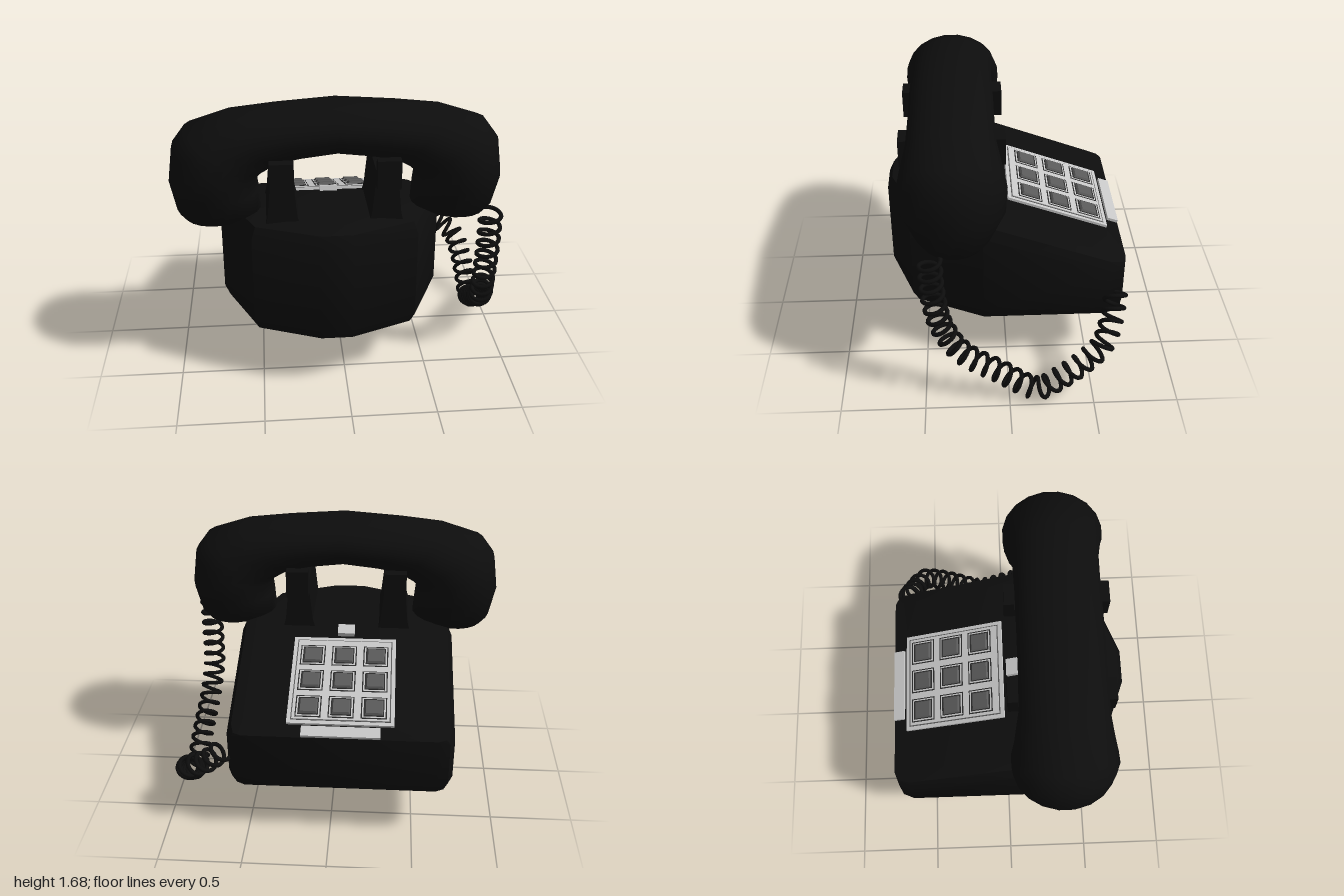
import * as THREE from 'three';
import { toCreasedNormals } from 'three/addons/utils/BufferGeometryUtils.js';

const mat = (name, color) => new THREE.MeshStandardMaterial({ name, color });

// Skin between rings of [x, y, z]; point k mirrors point n-1-k, so the ends close with strips
function loft(rings, crease) {
  const n = rings[0].length, pos = [];
  const quad = (a, b, c, d) => pos.push(...a, ...b, ...c, ...a, ...c, ...d);
  for (let i = 0; i < rings.length - 1; i++) {
    const lo = rings[i], hi = rings[i + 1];
    for (let j = 0; j < n; j++) {
      const k = (j + 1) % n;
      quad(lo[j], lo[k], hi[k], hi[j]);
    }
  }
  const first = rings[0], last = rings[rings.length - 1];
  for (let k = 0; k < n / 2 - 1; k++) {
    const m = n - 1 - k;
    quad(last[k], last[k + 1], last[m - 1], last[m]);
    quad(first[m], first[m - 1], first[k + 1], first[k]);
  }
  const geo = new THREE.BufferGeometry();
  geo.setAttribute('position', new THREE.Float32BufferAttribute(pos, 3));
  return toCreasedNormals(geo, crease);
}

export function createModel() {
  const model = new THREE.Group();
  const black = mat('black plastic', 0x0d0d0d);
  const light = mat('light grey', 0xc8c8c8);
  const grey = mat('key grey', 0x5a5a5a);
  const dark = mat('dark outline', 0x2a2a2a);
  const CX = -0.06;

  const add = (parent, name, geo, material, x = 0, y = 0, z = 0) => {
    const mesh = new THREE.Mesh(geo, material);
    mesh.name = name;
    mesh.position.set(x, y, z);
    parent.add(mesh);
    return mesh;
  };

  // Body: half plan as [x, z, side inset weight, drop weight]
  const plan = [
    [0.10, 0.715, 0.3, 1], [0.48, 0.57, 0.8, 1], [0.67, 0.14, 1, 1],
    [0.67, -0.62, 1, 1], [0.64, -0.69, 0.7, 0.5], [0.57, -0.715, 0, 0],
  ];
  const slope = 0.374;
  const topY = (z) => Math.min(1.07, 0.75 + (z + 0.715) * slope);
  const mirrorRing = (half) => [
    ...half.map(([x, y, z]) => [CX + x, y, z]),
    ...half.slice().reverse().map(([x, y, z]) => [CX - x, y, z]),
  ];
  const lower = (inset, y) => mirrorRing(plan.map(([x, z, w]) =>
    [x - inset * w, y, z > 0.3 ? z - inset : z < -0.5 ? z + inset : z]));
  const upper = (inset, drop) => mirrorRing(plan.map(([x, z, w, f]) =>
    [x - inset * w, topY(z) - drop * f, z > 0.3 ? z - inset : z]));
  add(model, 'body', loft([
    lower(0.1, 0.345), lower(0.03, 0.37), lower(0, 0.44),
    upper(0, 0.09), upper(0.03, 0.02), upper(0.1, 0),
  ], 0.6), black);

  // Handset: sections from mouthpiece tip to middle [outer x, outer y, inner x, inner y, half width]
  const sections = [
    [0.80, 1.015, 0.60, 1.02, 0.13], [0.89, 1.03, 0.52, 1.04, 0.18],
    [0.93, 1.08, 0.445, 1.08, 0.22], [0.965, 1.27, 0.455, 1.20, 0.295],
    [0.935, 1.48, 0.465, 1.28, 0.305], [0.86, 1.58, 0.42, 1.32, 0.285],
    [0.62, 1.66, 0.33, 1.37, 0.255], [0.35, 1.69, 0.20, 1.395, 0.25],
    [0, 1.715, 0, 1.42, 0.25],
  ];
  const sides = 20;
  const section = ([ox, oy, ix, iy, w], s) => Array.from({ length: sides }, (_, k) => {
    const t = (k + 0.5) / sides * Math.PI * 2, c = Math.cos(t) * 1.01;
    return [-0.035 + s * ((ox + ix) + (ox - ix) * c) / 2,
      ((oy + iy) + (oy - iy) * c) / 2, 0.305 + w * Math.sin(t)];
  });
  add(model, 'handset', loft([
    ...sections.map((p) => section(p, -1)),
    ...sections.slice(0, -1).reverse().map((p) => section(p, 1)),
  ], 1.1), black);

  // Cradle: two tapered posts, each with a forked rest
  const postShape = new THREE.Shape([
    [-0.1, 1.04], [0.1, 1.04], [0.085, 1.1], [0.065, 1.3], [-0.065, 1.3], [-0.085, 1.1],
  ].map(([x, y]) => new THREE.Vector2(x, y)));
  for (const s of [-1, 1]) {
    const cradle = new THREE.Group();
    cradle.name = s > 0 ? 'leftCradle' : 'rightCradle';
    cradle.position.x = CX + s * 0.298;
    const post = new THREE.ExtrudeGeometry(postShape, { depth: 0.44, bevelEnabled: false });
    add(cradle, 'cradlePost', post, black, 0, 0, 0.085);
    add(cradle, 'cradleSeat', new THREE.BoxGeometry(0.135, 0.09, 0.6), black, 0, 1.335, 0.305);
    for (const z of [0.025, 0.585]) {
      add(cradle, 'cradleProng', new THREE.BoxGeometry(0.135, 0.17, 0.06), black, 0, 1.375, z);
    }
    model.add(cradle);
  }

  // Sloped panel: local x across, local z up the slope, local y out of it
  const panel = new THREE.Group();
  panel.name = 'keypad';
  panel.position.set(CX, 0.75, -0.715);
  panel.rotation.x = -Math.atan(slope);
  model.add(panel);
  const stretch = Math.hypot(1, slope);
  const slab = (name, w, d, y0, y1, x, z, material) => add(panel, name,
    new THREE.BoxGeometry(w, y1 - y0, d), material, x, (y0 + y1) / 2, (z + 0.715) * stretch);
  slab('keypadPlate', 0.63, 0.655, -0.01, 0.016, 0, -0.324, light);
  slab('plateOutline', 0.585, 0.61, 0.015, 0.018, 0, -0.324, grey);
  slab('plateFace', 0.572, 0.597, 0.015, 0.021, 0, -0.324, light);
  slab('labelStrip', 0.46, 0.07, -0.01, 0.018, -0.005, -0.68, light);
  slab('hookButton', 0.105, 0.075, -0.01, 0.03, -0.003, 0.045, light);

  // Keys in a three by three grid
  for (let row = 0; row < 3; row++) {
    for (let col = 0; col < 3; col++) {
      const x = (col - 1) * 0.193, z = -0.337 + (row - 1) * 0.182;
      slab('keyOutline', 0.152, 0.155, 0.018, 0.0225, x, z, dark);
      slab('keyBezel', 0.138, 0.141, 0.018, 0.024, x, z, light);
      slab('keySkirt', 0.12, 0.124, 0.018, 0.027, x, z, dark);
      const cap = new THREE.CylinderGeometry(0.066, 0.078, 0.012, 4, 1).rotateY(Math.PI / 4);
      add(panel, 'keyCap', toCreasedNormals(cap, 0.3), grey, x, 0.032, (z + 0.715) * stretch);
    }
  }

  // Coiled cord: a helix wound around a hanging path
  const path = new THREE.CatmullRomCurve3([
    [0.87, 1.06, 0.44], [0.87, 0.8, 0.43], [0.87, 0.57, 0.39], [0.89, 0.38, 0.28],
    [0.91, 0.24, 0.07], [0.925, 0.1, -0.17], [0.925, 0.17, -0.29], [0.91, 0.29, -0.44],
    [0.87, 0.39, -0.55], [0.76, 0.47, -0.61], [0.63, 0.6, -0.65],
  ].map((p) => new THREE.Vector3(...p)));
  const turns = 27, steps = turns * 14;
  const frames = path.computeFrenetFrames(steps);
  const coil = [];
  for (let i = 0; i <= steps; i++) {
    const a = (i / steps) * turns * Math.PI * 2;
    coil.push(path.getPointAt(i / steps)
      .addScaledVector(frames.normals[i], Math.cos(a) * 0.062)
      .addScaledVector(frames.binormals[i], Math.sin(a) * 0.062));
  }
  add(model, 'coiledCord',
    new THREE.TubeGeometry(new THREE.CatmullRomCurve3(coil), turns * 22, 0.013, 7), black);

  return model;
}
